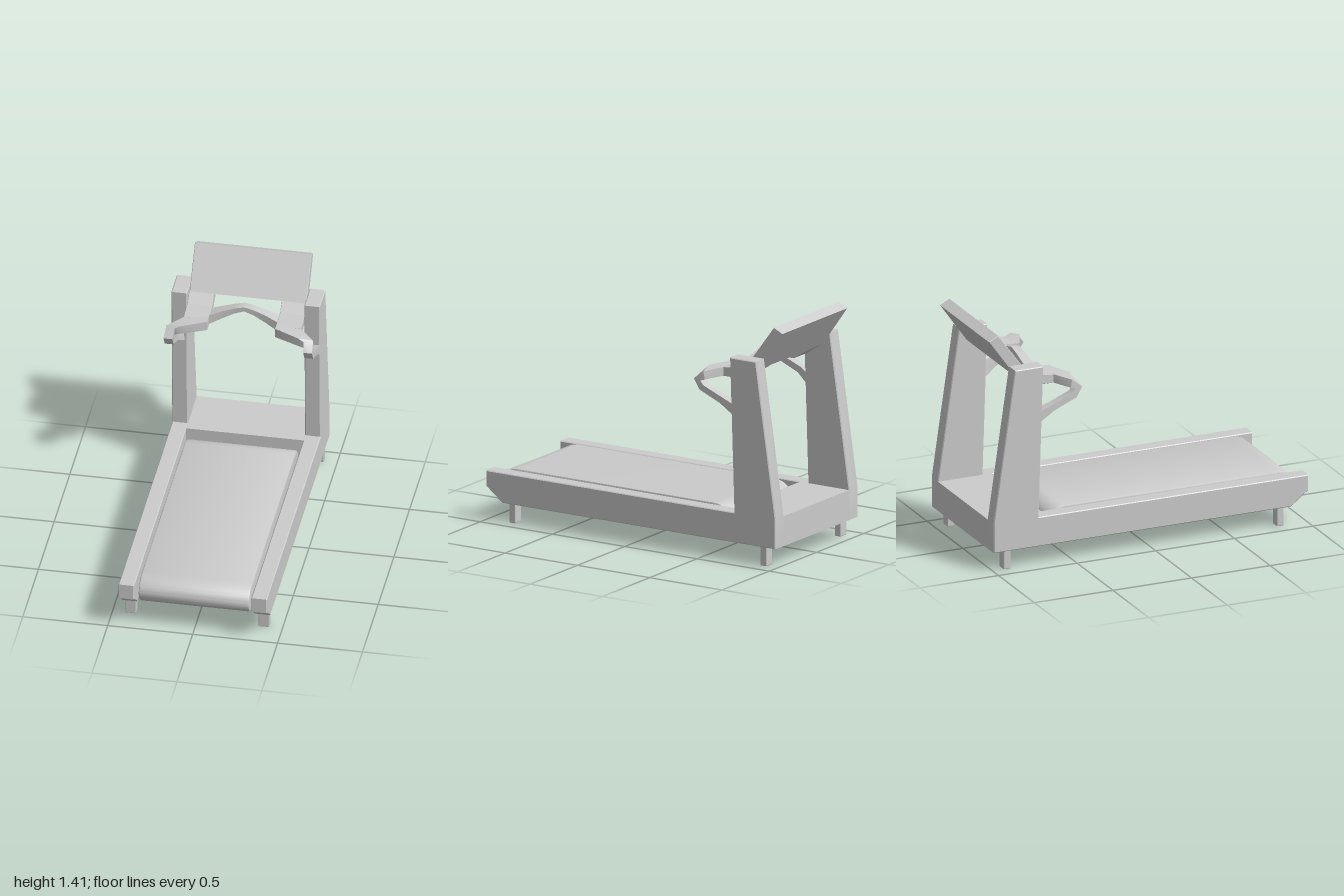
import * as THREE from 'three';
import { toCreasedNormals } from 'three/addons/utils/BufferGeometryUtils.js';
import { RoundedBoxGeometry } from 'three/addons/geometries/RoundedBoxGeometry.js';

const material = new THREE.MeshStandardMaterial({ color: 0xcccccc });

// Extrude a [z, y] outline sideways from x0 to x1, with a small bevel kept inside the outline
function extrudeX(outline, x0, x1, bevel = 0.005, bevelSegments = 1) {
  const shape = Array.isArray(outline)
    ? new THREE.Shape(outline.map(([z, y]) => new THREE.Vector2(z, y)))
    : outline;
  const geo = new THREE.ExtrudeGeometry(shape, {
    depth: x1 - x0 - 2 * bevel, curveSegments: 16, bevelEnabled: bevel > 0,
    bevelSize: bevel, bevelThickness: bevel, bevelOffset: -bevel, bevelSegments,
  });
  geo.rotateY(-Math.PI / 2);
  geo.translate(x1 - bevel, 0, 0);
  return toCreasedNormals(geo, 0.5);
}

// Four-cornered bar through sections [xR, xL, zR, zL, y, ty, tz]:
// right and left edges, mid height, and half thickness in y and z
function loftBar(sections, side = 1) {
  const rings = sections.map(([xR, xL, zR, zL, y, ty, tz]) => [
    [xR, y + ty, zR + tz], [xL, y + ty, zL + tz],
    [xL, y - ty, zL - tz], [xR, y - ty, zR - tz],
  ].map(([x, py, z]) => [x * side, py, z]));
  const pos = [];
  const tri = (a, b, c) => pos.push(...a, ...(side > 0 ? b : c), ...(side > 0 ? c : b));
  for (let i = 0; i + 1 < rings.length; i++) {
    for (let j = 0; j < 4; j++) {
      const k = (j + 1) % 4, [a, b] = [rings[i], rings[i + 1]];
      tri(a[j], b[k], a[k]);
      tri(a[j], b[j], b[k]);
    }
  }
  const s = rings[0], e = rings[rings.length - 1];
  tri(s[0], s[1], s[2]);
  tri(s[0], s[2], s[3]);
  tri(e[0], e[2], e[1]);
  tri(e[0], e[3], e[2]);
  const geo = new THREE.BufferGeometry();
  geo.setAttribute('position', new THREE.Float32BufferAttribute(pos, 3));
  geo.computeVertexNormals();
  return toCreasedNormals(geo, 0.5);
}

export function createModel() {
  const model = new THREE.Group();
  model.name = 'treadmill';
  const add = (name, geo) => {
    const mesh = new THREE.Mesh(geo, material);
    mesh.name = name;
    model.add(mesh);
    return mesh;
  };

  // Side rail and tapering upright in one piece
  const frame = [
    [1, 0.295], [1, 0.2], [0.89, 0.115], [-1, 0.115],
    [-1, 0.3], [-0.865, 1.22], [-0.685, 1.22], [-0.715, 0.295],
  ];
  // Bracket running forward from the console
  const bracket = [
    [-0.76, 1.185], [-0.70, 1.14], [-0.58, 1.128],
    [-0.58, 1.074], [-0.71, 1.075], [-0.82, 1.145],
  ];
  // Looped hand grip: out along the bracket, round the tip, back to the upright
  const grip = [
    [0.2, 0.2, -0.548, -0.66, 1.102, 0.029, 0],
    [0.345, 0.345, -0.482, -0.58, 1.1, 0.026, 0],
    [0.38, 0.432, -0.48, -0.505, 1.085, 0.024, 0.005],
    [0.385, 0.437, -0.46, -0.46, 1.055, 0.004, 0.022],
    [0.385, 0.437, -0.49, -0.49, 1.012, -0.014, 0.014],
    [0.385, 0.437, -0.625, -0.625, 0.955, -0.018, 0.008],
    [0.358, 0.437, -0.71, -0.71, 0.91, -0.027, 0.01],
  ];

  for (const side of [1, -1]) {
    const label = side > 0 ? 'left' : 'right';
    const span = (a, b) => (side > 0 ? [a, b] : [-b, -a]);
    add(label + 'Frame', extrudeX(frame, ...span(0.345, 0.437)));
    add(label + 'Bracket', extrudeX(bracket, ...span(0.2, 0.345), 0.002));
    add(label + 'Grip', loftBar(grip, side));
    for (const [end, z] of [['Front', 0.828], ['Back', -0.91]]) {
      const foot = add(label + end + 'Foot', new RoundedBoxGeometry(0.064, 0.13, 0.044, 1, 0.006));
      foot.position.set(side * 0.392, 0.065, z);
    }
  }

  // Motor housing between the uprights
  add('motorHousing', extrudeX(
    [[-0.66, 0.295], [-0.66, 0.115], [-1, 0.115], [-1, 0.295]], -0.35, 0.35, 0));

  // Running belt wrapped round its two rollers
  const belt = new THREE.Shape();
  belt.moveTo(-0.503, 0.13);
  belt.lineTo(0.855, 0.13);
  belt.absellipse(0.855, 0.215, 0.11, 0.085, -Math.PI / 2, Math.PI / 2, false);
  belt.lineTo(-0.503, 0.3);
  belt.absellipse(-0.503, 0.215, 0.11, 0.085, Math.PI / 2, Math.PI * 1.5, false);
  add('runningBelt', extrudeX(belt, -0.326, 0.326, 0.012, 2));

  // Slanted console panel
  add('consolePanel', extrudeX(
    [[-0.93, 1.415], [-0.99, 1.385], [-0.82, 1.145], [-0.76, 1.185]], -0.343, 0.343, 0.003));

  // Arched bar joining the two brackets
  const arch = [];
  for (const [x, y, t, zFront] of [
    [-0.2, 1.105, 0.03, -0.61], [-0.13, 1.133, 0.025, -0.63], [-0.06, 1.163, 0.018, -0.638],
    [0, 1.181, 0.014, -0.64],
    [0.06, 1.163, 0.018, -0.638], [0.13, 1.133, 0.025, -0.63], [0.2, 1.105, 0.03, -0.61],
  ]) arch.push([x, x, zFront, -0.69, y, t, 0]);
  add('archBar', loftBar(arch));

  return model;
}
